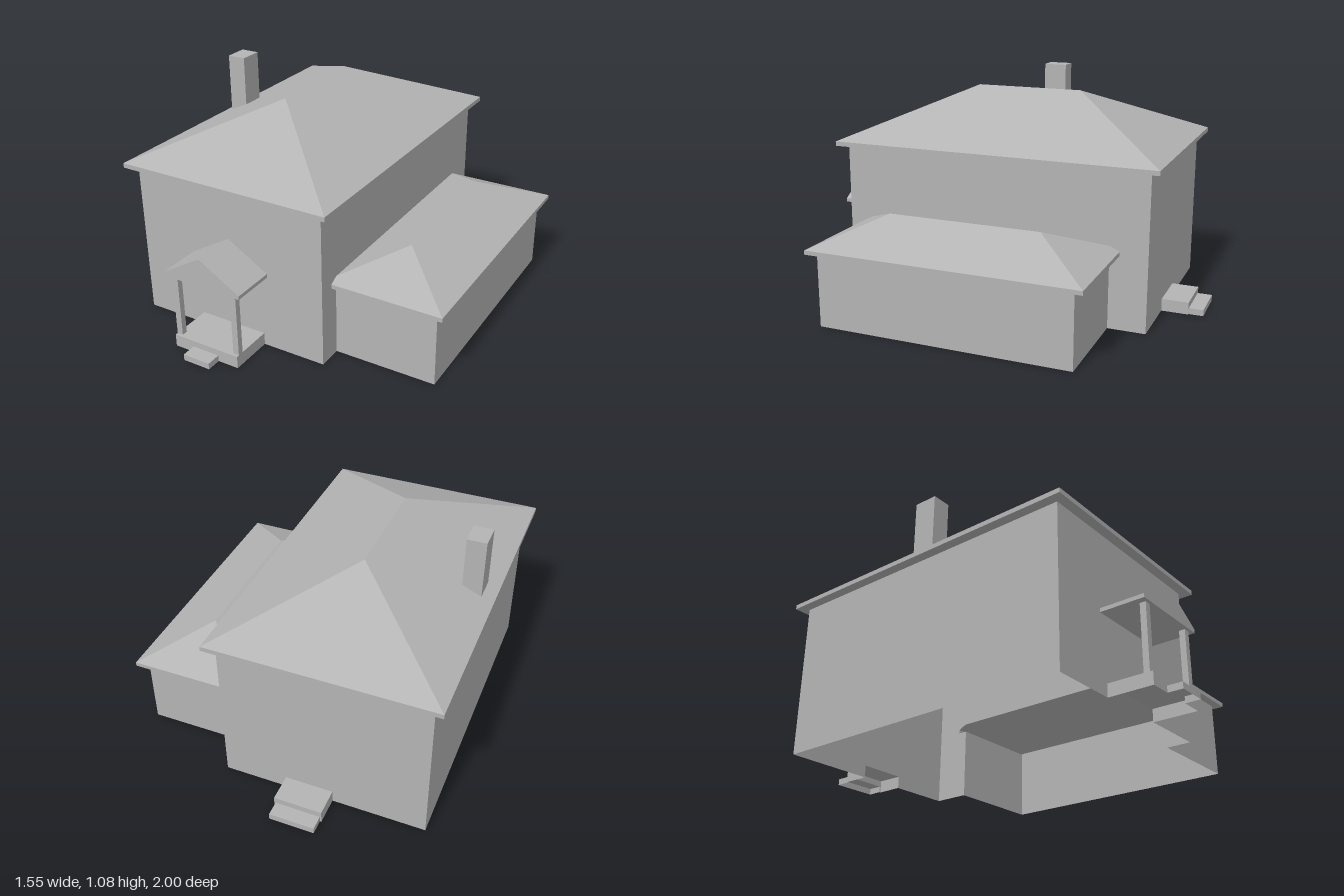
import * as THREE from 'three';

// One plaster-grey material; the house is an open-bottomed shell, so it is two-sided.
const plaster = new THREE.MeshStandardMaterial({ color: 0xb4b4b4 });
plaster.name = 'plasterGrey';
plaster.side = THREE.DoubleSide;

function add(parent, name, geometry) {
  const mesh = new THREE.Mesh(geometry, plaster);
  mesh.name = name;
  parent.add(mesh);
  return mesh;
}

function group(parent, name) {
  const g = new THREE.Group();
  g.name = name;
  parent.add(g);
  return g;
}

// Axis-aligned panels. Points are (x,y) for front/back, (z,y) for left/right, (x,z) for up/down.
const planes = {
  front: { s: [1, 1], to: (a, b, d) => [a, b, d] },
  back: { s: [-1, 1], to: (a, b, d) => [a, b, d] },
  right: { s: [-1, 1], to: (a, b, d) => [d, b, a] },
  left: { s: [1, 1], to: (a, b, d) => [d, b, a] },
  up: { s: [1, -1], to: (a, b, d) => [a, d, b] },
  down: { s: [1, 1], to: (a, b, d) => [a, d, b] },
};

function panel(parent, name, side, depth, points, hole) {
  const { s, to } = planes[side];
  const flat = (list) => list.map(([a, b]) => new THREE.Vector2(a * s[0], b * s[1]));
  const shape = new THREE.Shape(flat(points));
  if (hole) shape.holes.push(new THREE.Path(flat(hole)));
  const geo = new THREE.ShapeGeometry(shape);
  const p = geo.attributes.position;
  for (let i = 0; i < p.count; i++) {
    p.setXYZ(i, ...to(p.getX(i) * s[0], p.getY(i) * s[1], depth));
  }
  geo.computeVertexNormals();
  return add(parent, name, geo);
}

const rect = (a0, a1, b0, b1) => [[a0, b0], [a1, b0], [a1, b1], [a0, b1]];

// Sloping convex face, corners anticlockwise from outside
function slope(parent, name, corners) {
  const geo = new THREE.BufferGeometry();
  const tris = [];
  for (let i = 1; i < corners.length - 1; i++) tris.push(...corners[0], ...corners[i], ...corners[i + 1]);
  geo.setAttribute('position', new THREE.Float32BufferAttribute(tris, 3));
  geo.computeVertexNormals();
  return add(parent, name, geo);
}

function box(parent, name, x0, x1, y0, y1, z0, z1) {
  const geo = new THREE.BoxGeometry(x1 - x0, y1 - y0, z1 - z0);
  geo.translate((x0 + x1) / 2, (y0 + y1) / 2, (z0 + z1) / 2);
  return add(parent, name, geo);
}

// Hollow stoop: a landing against the wall and one lower step; dir is +1 front, -1 back
function stoop(parent, name, dir, wall, mid, end, [x0, x1], [s0, s1]) {
  const g = group(parent, name);
  const face = dir > 0 ? 'front' : 'back';
  const H = 0.06, h = 0.03;
  panel(g, 'landingTop', 'up', H, rect(x0, x1, wall, mid));
  panel(g, 'landingLeft', 'right', x1, rect(wall, mid, 0, H));
  panel(g, 'landingRight', 'left', x0, rect(wall, mid, 0, H));
  panel(g, 'landingRiser', face, mid,
    [[x0, 0], [s0, 0], [s0, h], [s1, h], [s1, 0], [x1, 0], [x1, H], [x0, H]]);
  panel(g, 'stepTop', 'up', h, rect(s0, s1, mid, end));
  panel(g, 'stepLeft', 'right', s1, rect(mid, end, 0, h));
  panel(g, 'stepRight', 'left', s0, rect(mid, end, 0, h));
  panel(g, 'stepRiser', face, end, rect(s0, s1, 0, h));
}

export function createModel() {
  const house = new THREE.Group();
  house.name = 'house';

  // Shared dimensions
  const X0 = -0.733, X1 = 0.245, Z0 = -0.80, Z1 = 0.72, eave = 0.75, lip = 0.772;
  const porch = [-0.415, -0.07], backLanding = [-0.29, -0.06];
  const gX1 = 0.735, gZ0 = -0.62, gZ1 = 0.603, gEave = 0.355, gLip = 0.375;
  const gRX = 0.775, gRZ0 = -0.668, gRZ1 = 0.643, gRidge = 0.49, gTop = 0.503, gCut = 0.396;
  const rz0 = -0.38, rz1 = 0.36, inset = 0.044;
  const gable = [[-0.448, 0.365], [-0.04, 0.365], [-0.04, 0.383], [-0.244, 0.505], [-0.448, 0.383]];

  // Main walls, opened where porch, landing and wing join
  const main = group(house, 'mainWalls');
  const notched = ([a, b]) =>
    [[X0, 0], [a, 0], [a, 0.06], [b, 0.06], [b, 0], [X1, 0], [X1, eave], [X0, eave]];
  panel(main, 'frontWall', 'front', Z1, notched(porch), gable);
  panel(main, 'backWall', 'back', Z0, notched(backLanding));
  panel(main, 'rightWall', 'left', X0, rect(Z0, Z1, 0, eave));
  panel(main, 'leftWall', 'right', X1, [
    [Z0, 0], [gZ0, 0], [gZ0, gEave], [gRZ0, gEave], [gRZ0, gLip], [gRZ0 + inset, gCut],
    [gRZ1 - inset, gCut], [gRZ1, gLip], [gRZ1, gEave], [gZ1, gEave], [gZ1, 0],
    [Z1, 0], [Z1, eave], [Z0, eave]]);

  // Main hipped roof with fascia and soffit
  const roof = group(house, 'mainRoof');
  const a = -0.78, b = 0.292, c = -0.846, d = 0.766, top = 1.012;
  const A = [a, lip, d], B = [b, lip, d], C = [b, lip, c], D = [a, lip, c];
  const R1 = [-0.244, top, 0.23], R0 = [-0.244, top, -0.31];
  slope(roof, 'frontSlope', [A, B, R1]);
  slope(roof, 'leftSlope', [B, C, R0, R1]);
  slope(roof, 'backSlope', [C, D, R0]);
  slope(roof, 'rightSlope', [D, A, R1, R0]);
  panel(roof, 'frontFascia', 'front', d, rect(a, b, eave, lip));
  panel(roof, 'backFascia', 'back', c, rect(a, b, eave, lip));
  panel(roof, 'leftFascia', 'right', b, rect(c, d, eave, lip));
  panel(roof, 'rightFascia', 'left', a, rect(c, d, eave, lip));
  panel(roof, 'soffit', 'down', eave, rect(a, b, c, d), rect(X0, X1, Z0, Z1));

  // Chimney, its foot cut to the roof slope
  const stack = new THREE.Shape([[-0.722, 0.798], [-0.63, 0.839], [-0.63, 1.083], [-0.722, 1.083]]
    .map(([x, y]) => new THREE.Vector2(x, y)));
  const chimney = new THREE.ExtrudeGeometry(stack, { depth: 0.117, bevelEnabled: false });
  chimney.translate(0, 0, -0.1);
  add(house, 'chimney', chimney);

  // Side wing walls
  const wing = group(house, 'sideWing');
  panel(wing, 'wingFrontWall', 'front', gZ1, rect(X1, gX1, 0, gEave));
  panel(wing, 'wingBackWall', 'back', gZ0, rect(X1, gX1, 0, gEave));
  panel(wing, 'wingLeftWall', 'right', gX1, rect(gZ0, gZ1, 0, gEave));

  // Side wing hipped roof, trimmed by the main wall
  const wr = group(house, 'wingRoof');
  const P1 = [gRidge, gTop, rz1], P0 = [gRidge, gTop, rz0];
  const F = [gRX, gLip, gRZ1], K = [gRX, gLip, gRZ0];
  const W1 = [X1, gCut, gRZ1 - inset], W0 = [X1, gCut, gRZ0 + inset];
  slope(wr, 'wingFrontSlope', [[X1, gLip, gRZ1], F, P1, W1]);
  slope(wr, 'wingBackSlope', [K, [X1, gLip, gRZ0], W0, P0]);
  slope(wr, 'wingLeftSlope', [F, K, P0, P1]);
  slope(wr, 'wingRightSlope', [W0, W1, P1, P0]);
  panel(wr, 'wingFrontFascia', 'front', gRZ1, rect(X1, gRX, gEave, gLip));
  panel(wr, 'wingBackFascia', 'back', gRZ0, rect(X1, gRX, gEave, gLip));
  panel(wr, 'wingLeftFascia', 'right', gRX, rect(gRZ0, gRZ1, gEave, gLip));
  panel(wr, 'wingSoffit', 'down', gEave, [
    [X1, gRZ0], [gRX, gRZ0], [gRX, gRZ1], [X1, gRZ1],
    [X1, gZ1], [gX1, gZ1], [gX1, gZ0], [X1, gZ0]]);

  // Porch gable roof and posts
  const pr = group(house, 'porchRoof');
  const pz = 0.93;
  panel(pr, 'pediment', 'front', pz, gable);
  gable.forEach(([x, y], i) => {
    const [u, v] = gable[(i + 1) % gable.length];
    slope(pr, ['porchSoffit', 'leftEdge', 'leftPitch', 'rightPitch', 'rightEdge'][i],
      [[x, y, pz], [x, y, Z1], [u, v, Z1], [u, v, pz]].reverse());
  });
  for (const x of [porch[0], porch[1] - 0.03]) {
    box(house, 'porchPost', x, x + 0.03, 0.06, 0.365, 0.888, 0.916);
  }

  // Front and back stoops
  stoop(house, 'frontStoop', 1, Z1, pz, 1, porch, [-0.314, -0.175]);
  stoop(house, 'backStoop', -1, Z0, -0.93, -1, backLanding, [-0.283, -0.067]);

  return house;
}
